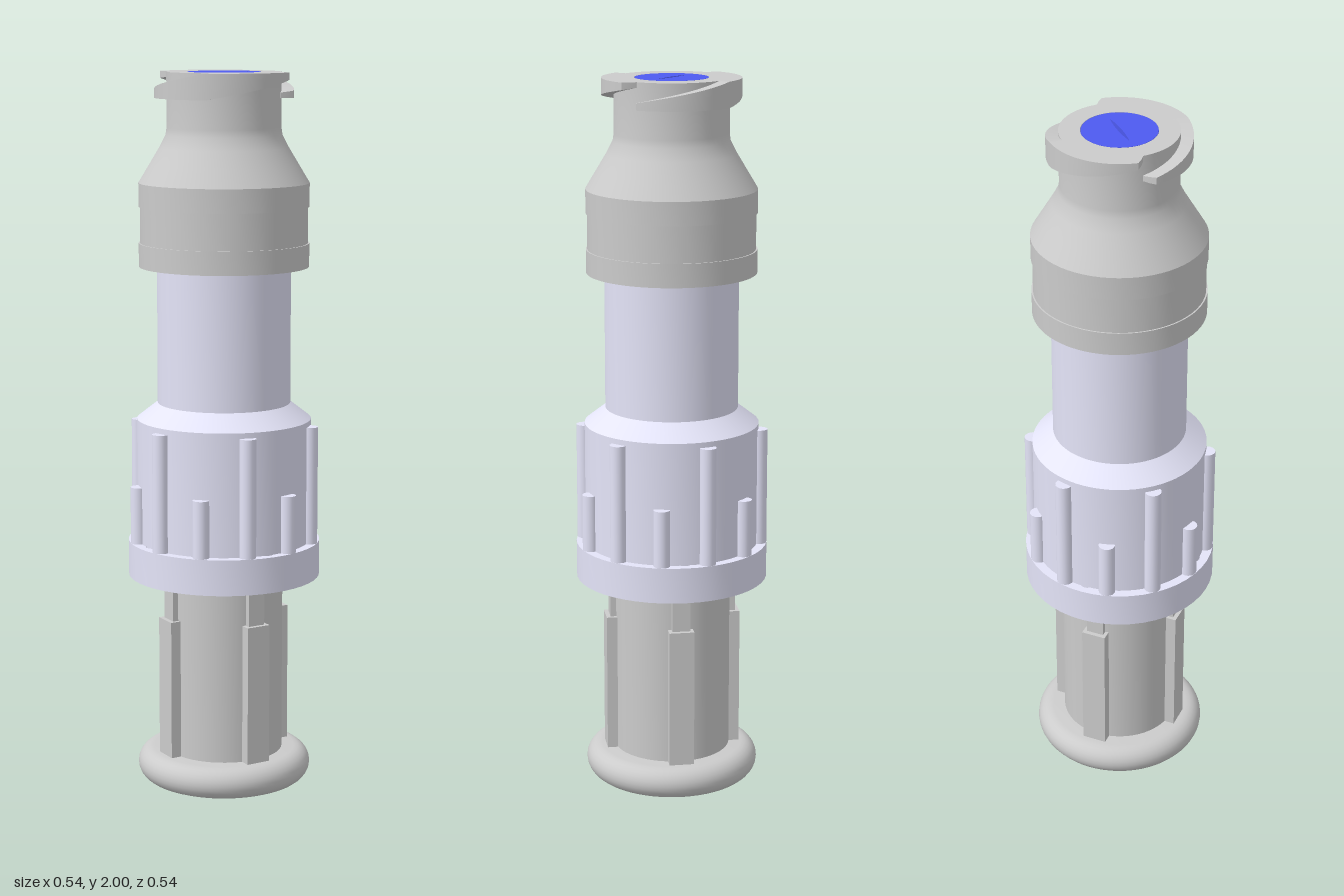
import * as THREE from 'three';
import { toCreasedNormals } from 'three/addons/utils/BufferGeometryUtils.js';

const grey = new THREE.MeshStandardMaterial({ color: 0xcccccc });
const pale = new THREE.MeshStandardMaterial({ color: 0xe4e4f8 });
const blue = new THREE.MeshStandardMaterial({ color: 0x4d5af0 });

function addMesh(parent, name, geometry, material) {
  const mesh = new THREE.Mesh(geometry, material);
  mesh.name = name;
  parent.add(mesh);
  return mesh;
}

// Profile of [radius, y] pairs, listed from the bottom up
function lathe(profile, segments = 64) {
  const points = profile.map(([r, y]) => new THREE.Vector2(r, y));
  return toCreasedNormals(new THREE.LatheGeometry(points, segments), 0.5);
}

function circle(radius, x = 0, y = 0) {
  return new THREE.Path().absarc(x, y, radius, 0, Math.PI * 2, true);
}

// Flat plate lying on y, with holes
function plate(radius, holes, y, height, curveSegments) {
  const shape = new THREE.Shape().absarc(0, 0, radius, 0, Math.PI * 2, false);
  shape.holes.push(...holes);
  const geometry = new THREE.ExtrudeGeometry(shape, { depth: height, bevelEnabled: false, curveSegments });
  return toCreasedNormals(geometry.rotateX(-Math.PI / 2).translate(0, y, 0), 0.5);
}

// Half-turn helical lug, clipped level with the rim and its lower edge
function threadGeometry() {
  const steps = 48, positions = [], indices = [];
  const { lerp, clamp } = THREE.MathUtils;
  for (let i = 0; i <= steps; i++) {
    const t = i / steps, angle = Math.PI * (1 - t);
    const taper = clamp(Math.min(t, 1 - t) / 0.04, 0, 1);
    const outer = lerp(0.158, 0.19, taper), inner = 0.15;
    const bottom = lerp(1.93, 1.985, clamp(t * 2 - 1, 0, 1));
    const top = lerp(1.945, 2, clamp(t * 2, 0, 1));
    for (const [r, y] of [[inner, bottom], [outer, bottom], [outer, top], [inner, top]]) {
      positions.push(r * Math.cos(angle), y, r * Math.sin(angle));
    }
  }
  for (let i = 0; i < steps; i++) {
    for (let k = 0; k < 4; k++) {
      const a = i * 4 + k, b = i * 4 + (k + 1) % 4;
      indices.push(a, a + 4, b + 4, a, b + 4, b);
    }
  }
  const e = steps * 4;
  indices.push(0, 1, 2, 0, 2, 3, e, e + 2, e + 1, e, e + 3, e + 2);
  const geometry = new THREE.BufferGeometry();
  geometry.setAttribute('position', new THREE.Float32BufferAttribute(positions, 3));
  geometry.setIndex(indices);
  return toCreasedNormals(geometry, 0.5);
}

export function createModel() {
  const model = new THREE.Group();
  model.name = 'valveConnector';

  // Rounded foot and lower stem
  const foot = [[0, 0]];
  for (let i = 0; i <= 12; i++) {
    const a = -Math.PI / 2 + (Math.PI * i) / 12;
    foot.push([0.2 + 0.045 * Math.cos(a), 0.045 + 0.045 * Math.sin(a)]);
  }
  foot.push([0, 0.09]);
  addMesh(model, 'footFlange', lathe(foot), grey);
  addMesh(model, 'lowerStem', lathe([[0.165, 0.08], [0.165, 0.72]]), grey);

  // Four stepped ribs on the stem's diagonals
  for (let i = 0; i < 4; i++) {
    const rib = new THREE.Group();
    rib.name = 'stemRib';
    rib.rotation.y = Math.PI / 4 + (i * Math.PI) / 2;
    addMesh(rib, 'wideRib', new THREE.BoxGeometry(0.07, 0.41, 0.05), grey).position.set(0, 0.28, 0.166);
    addMesh(rib, 'narrowRib', new THREE.BoxGeometry(0.05, 0.22, 0.05), grey).position.set(0, 0.59, 0.154);
    model.add(rib);
  }

  // Grip collar: drilled base ring, body and alternating ribs
  const collar = new THREE.Group();
  collar.name = 'gripCollar';
  model.add(collar);
  const holes = [circle(0.19)];
  for (let i = 0; i < 8; i++) {
    const a = (i * Math.PI) / 4;
    holes.push(circle(0.018, 0.23 * Math.cos(a), 0.23 * Math.sin(a)));
  }
  addMesh(collar, 'collarBaseRing', plate(0.269, holes, 0.6, 0.1, 24), pale);
  addMesh(collar, 'collarBody', lathe([[0.16, 0.695], [0.243, 0.695], [0.243, 1.045], [0.185, 1.09]]), pale);
  for (let i = 0; i < 12; i++) {
    const a = (i * Math.PI) / 6, top = i % 2 ? 1.03 : 0.86;
    const rib = addMesh(collar, 'gripRib', new THREE.CylinderGeometry(0.023, 0.023, top - 0.69, 16), pale);
    rib.position.set(0.246 * Math.sin(a), (top + 0.69) / 2, 0.246 * Math.cos(a));
  }

  addMesh(model, 'barrel', lathe([[0.185, 1.08], [0.185, 1.5]]), pale);

  // Upper cap with shallow band, shoulder, neck and recessed rim
  addMesh(model, 'cap', lathe([
    [0.18, 1.47], [0.235, 1.47], [0.235, 1.535], [0.231, 1.535], [0.231, 1.635], [0.235, 1.635],
    [0.235, 1.7], [0.205, 1.75], [0.178, 1.795], [0.16, 1.83], [0.157, 1.85],
    [0.157, 2], [0.101, 2], [0.101, 1.97], [0, 1.97],
  ]), grey);

  // Two-start locking thread
  const thread = threadGeometry();
  for (let i = 0; i < 2; i++) addMesh(model, 'lockingThread', thread, grey).rotation.y = i * Math.PI;

  // Membrane with a lens-shaped slit
  const slit = new THREE.Path();
  slit.moveTo(-0.068, 0);
  slit.quadraticCurveTo(0, 0.011, 0.068, 0);
  slit.quadraticCurveTo(0, -0.011, -0.068, 0);
  addMesh(model, 'membrane', plate(0.1, [slit], 1.975, 0.025, 24), blue);
  addMesh(model, 'membraneFloor', new THREE.CylinderGeometry(0.1, 0.1, 0.006, 48), blue).position.y = 1.974;

  return model;
}
